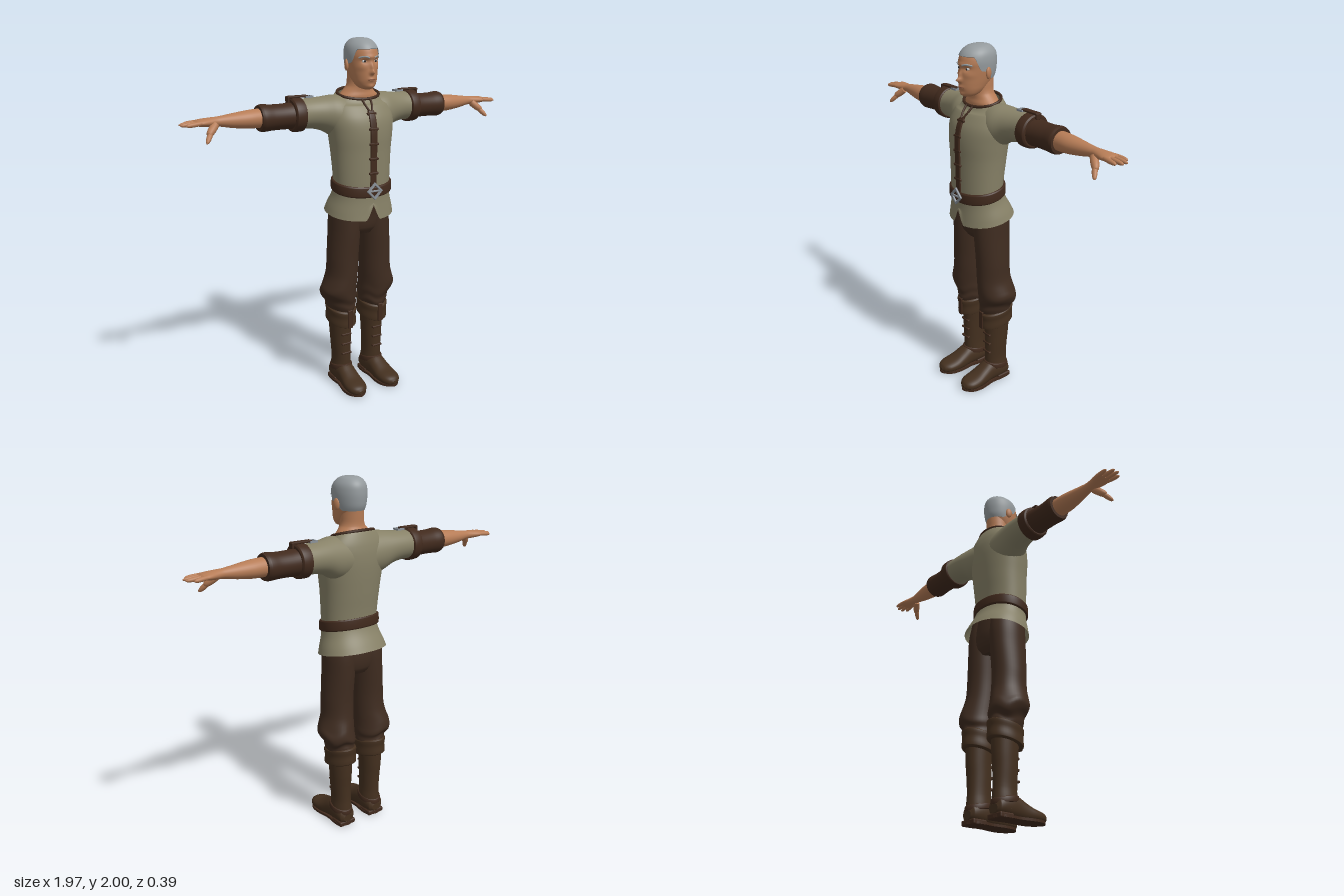
import * as THREE from 'three';
import { RoundedBoxGeometry } from 'three/addons/geometries/RoundedBoxGeometry.js';

const V = (x, y, z) => new THREE.Vector3(x, y, z);
const step = THREE.MathUtils.smoothstep;

// Smooth value of the sections [t, c1, c2, r1, r2] at t
function sample(secs, t) {
  let i = 0;
  while (i < secs.length - 2 && t > secs[i + 1][0]) i++;
  const a = secs[i], b = secs[i + 1], p = secs[i - 1] || a, n = secs[i + 2] || b;
  const h = b[0] - a[0], s = (t - a[0]) / h, s2 = s * s, s3 = s2 * s;
  return [1, 2, 3, 4].map(k => {
    const ma = (b[k] - p[k]) / (b[0] - p[0]) * h, mb = (n[k] - a[k]) / (n[0] - a[0]) * h;
    return (2 * s3 - 3 * s2 + 1) * a[k] + (s3 - 2 * s2 + s) * ma + (3 * s2 - 2 * s3) * b[k] + (s3 - s2) * mb;
  });
}

// Point on a section ring; pow above 2 squares the ring off
function ring(secs, t, th, axis = 'y', pow = 2, grow = 0) {
  const [c1, c2, r1, r2] = sample(secs, t);
  const f = v => Math.sign(v) * Math.abs(v) ** (2 / pow);
  const a = c1 + (r1 + grow) * f(Math.cos(th)), b = c2 + (r2 + grow) * f(Math.sin(th));
  return axis === 'y' ? V(a, t, b) : axis === 'x' ? V(t, b, a) : V(b, a, t);
}

// Closed tube of rows of points, with optional end caps
function skin(rows, cols, point, cap = true) {
  const pos = [], idx = [];
  for (let i = 0; i <= rows; i++)
    for (let j = 0; j < cols; j++) pos.push(...point(i, j / cols * Math.PI * 2).toArray());
  for (let i = 0; i < rows; i++)
    for (let j = 0; j < cols; j++) {
      const a = i * cols + j, b = i * cols + (j + 1) % cols;
      idx.push(a, a + cols, b, b, a + cols, b + cols);
    }
  if (cap) for (const r of [0, rows]) {
    const base = pos.length / 3, mid = V(0, 0, 0);
    for (let j = 0; j < cols; j++) {
      const p = V(0, 0, 0).fromArray(pos, (r * cols + j) * 3);
      mid.addScaledVector(p, 1 / cols);
      pos.push(p.x, p.y, p.z);
    }
    pos.push(mid.x, mid.y, mid.z);
    for (let j = 0; j < cols; j++) {
      const a = base + j, b = base + (j + 1) % cols;
      idx.push(...(r ? [base + cols, b, a] : [base + cols, a, b]));
    }
  }
  const g = new THREE.BufferGeometry();
  g.setAttribute('position', new THREE.Float32BufferAttribute(pos, 3));
  g.setIndex(idx);
  g.computeVertexNormals();
  return g;
}

function loft(secs, { axis = 'y', cols = 32, sub = 4, pow = 2, warp, cap = true } = {}) {
  const n = (secs.length - 1) * sub;
  return skin(n, cols, (i, th) => {
    const k = Math.min(Math.floor(i / sub), secs.length - 2), s = i / sub - k;
    const p = ring(secs, secs[k][0] + (secs[k + 1][0] - secs[k][0]) * s, th, axis, pow);
    if (warp) warp(p);
    return p;
  }, cap);
}

function mirror(geo) {
  const g = geo.clone().scale(-1, 1, 1);
  if (!g.index) g.setIndex([...Array(g.attributes.position.count).keys()]);
  const a = g.index.array;
  for (let i = 0; i < a.length; i += 3) [a[i], a[i + 1]] = [a[i + 1], a[i]];
  return g;
}

// Rounded finger from a to b
function finger(a, b, r0, r1) {
  const L = a.distanceTo(b), d = b.clone().sub(a).normalize();
  const g = loft([[0, 0, 0, r0, r0], [L * 0.5, 0, 0, r0, r0], [L * 0.88, 0, 0, r1, r1], [L, 0, 0, r1 * 0.3, r1 * 0.3]],
    { axis: 'x', cols: 12, sub: 3 });
  return g.applyQuaternion(new THREE.Quaternion().setFromUnitVectors(V(1, 0, 0), d)).translate(a.x, a.y, a.z);
}
const tube = (pts, r, closed = false) =>
  new THREE.TubeGeometry(new THREE.CatmullRomCurve3(pts, closed), closed ? 64 : 16, r, 8, closed);
const box = (w, h, d, x, y, z) => new RoundedBoxGeometry(w, h, d, 2, Math.min(w, h, d) * 0.3).translate(x, y, z);

// Rectangular buckle frame in the xy plane
function frame(w, h, bar, d) {
  const rect = (C, a, b) => new C([[-a, -b], [a, -b], [a, b], [-a, b]].map(p => new THREE.Vector2(...p)));
  const s = rect(THREE.Shape, w / 2, h / 2);
  s.holes.push(rect(THREE.Path, w / 2 - bar, h / 2 - bar));
  return new THREE.ExtrudeGeometry(s, { depth: d, bevelEnabled: false }).translate(0, 0, -d / 2);
}

export function createModel() {
  const group = new THREE.Group();
  const mat = (name, color, side = THREE.FrontSide) => {
    const m = new THREE.MeshStandardMaterial({ color, side });
    m.name = name;
    return m;
  };
  const flesh = mat('skin', 0xb67c56), lip = mat('lips', 0x8f5a42), hairM = mat('grey hair', 0x949a9d, THREE.DoubleSide);
  const cloth = mat('tunic cloth', 0x878167, THREE.DoubleSide), wool = mat('trouser cloth', 0x3f2c20);
  const leather = mat('leather', 0x412a1d), boot = mat('boot leather', 0x44301f), metal = mat('steel', 0x8b9299);
  const white = mat('eye white', 0xc4c8ca), dark = mat('iris', 0x2c2a2a);
  const add = (name, geo, m) => {
    const mesh = new THREE.Mesh(geo, m);
    mesh.name = name;
    group.add(mesh);
  };
  const pair = (name, geo, m) => { add(name + 'Left', geo, m); add(name + 'Right', mirror(geo), m); };

  // Head, with the features raised as bumps [x, y, height, width x, width y]
  const head = [[1.735, 0, .058, .02, .022], [1.745, 0, .05, .042, .044], [1.77, 0, .035, .059, .07], [1.8, 0, .02, .068, .089],
    [1.84, 0, .006, .076, .102], [1.88, 0, .001, .081, .105], [1.92, 0, 0, .082, .105], [1.955, 0, -.004, .074, .094],
    [1.98, 0, -.008, .053, .068], [1.99, 0, -.01, .032, .04], [1.994, 0, -.01, .004, .004]];
  const bumps = [[0, 1.825, .026, .011, .011], [0, 1.85, .014, .008, .02], [.033, 1.882, -.011, .017, .011], [-.033, 1.882, -.011, .017, .011],
    [0, 1.903, .006, .05, .009], [0, 1.788, .007, .02, .01], [0, 1.75, .008, .02, .012], [.05, 1.85, .004, .02, .015], [-.05, 1.85, .004, .02, .015]];
  const face = p => {
    if (p.z > .02) for (const [x, y, h, sx, sy] of bumps)
      p.z += h * Math.exp(-(((p.x - x) / sx) ** 2) - ((p.y - y) / sy) ** 2) * step(p.z, .02, .06);
  };
  add('head', loft(head, { cols: 96, sub: 6, warp: face }), flesh);
  add('neck', loft([[1.64, 0, -.035, .12, .07], [1.695, 0, -.035, .115, .072], [1.72, 0, -.035, .092, .068],
    [1.75, 0, -.028, .068, .064], [1.8, 0, -.025, .062, .068], [1.84, 0, -.025, .06, .07]]), flesh);
  add('hair', skin(28, 72, (i, th) => {
    const s = Math.sin(th), u = Math.sin(i / 28 * Math.PI / 2);
    const low = s > .2 ? 1.872 + .073 * step(s, .25, .7) : 1.872 - .045 * step(-s, -.2, .5);
    const p = ring(head, low + (1.994 - low) * u, th, 'y', 2, .005);
    p.y += .006 * u;
    return p;
  }), hairM);
  pair('ear', new THREE.SphereGeometry(1, 16, 12).scale(.011, .031, .02).rotateY(.35).translate(.086, 1.86, -.008), flesh);
  pair('eye', new THREE.SphereGeometry(1, 16, 10).scale(.014, .007, .008).translate(.033, 1.882, .086), white);
  pair('iris', new THREE.SphereGeometry(1, 12, 8).scale(.006, .006, .003).translate(.033, 1.882, .093), dark);
  pair('eyebrow', tube([V(.014, 1.9, .109), V(.035, 1.906, .1), V(.06, 1.9, .075)], .0045), hairM);
  add('mouth', tube([V(-.022, 1.787, .102), V(0, 1.789, .114), V(.022, 1.787, .102)], .0035), lip);

  // Tunic body: dipped neckline, tilted waist and hem split at the front
  const shape = p => {
    if (p.y > 1.64) p.y -= .3 * (p.z + .04) * step(p.y, 1.64, 1.7);
    else {
      const split = p.z > 0 ? Math.max(0, .038 - Math.abs(p.x)) * 2.2 * (1 - step(p.y, 1.05, 1.15)) : 0;
      p.y += split - .17 * p.z * (1 - step(p.y, 1.25, 1.4));
    }
  };
  add('tunicBody', loft([[1.05, 0, -.03, .198, .162], [1.09, 0, -.022, .188, .15], [1.15, 0, -.008, .169, .132], [1.2, 0, 0, .162, .124],
    [1.26, 0, 0, .164, .126], [1.4, 0, -.006, .173, .134], [1.5, 0, -.01, .185, .14], [1.58, 0, -.018, .193, .135],
    [1.65, 0, -.033, .178, .112], [1.69, 0, -.034, .142, .09], [1.708, 0, -.034, .12, .08]],
    { cols: 96, sub: 5, pow: 2.15, warp: shape, cap: false }), cloth);
  pair('sleeve', loft([[.07, -.045, 1.585, .1, .115], [.15, -.045, 1.592, .103, .113], [.22, -.06, 1.607, .09, .09],
    [.29, -.069, 1.612, .083, .08], [.37, -.07, 1.611, .082, .079]], { axis: 'x', cols: 40 }), cloth);
  const collar = [];
  for (let i = 0; i < 24; i++) {
    const a = i / 24 * Math.PI * 2, p = V(.122 * Math.cos(a), 1.708, -.034 + .082 * Math.sin(a));
    shape(p);
    collar.push(p);
  }
  add('collarBraid', tube(collar, .008, true), leather);
  pair('neckOpeningTrim', tube([V(.026, 1.682, .05), V(.02, 1.65, .078), V(.004, 1.615, .103)], .006), leather);

  // Front placket with clasps
  add('placket', loft([[1.21, 0, .124, .019, .008], [1.26, 0, .126, .019, .008], [1.4, 0, .129, .02, .008], [1.5, 0, .131, .02, .008],
    [1.58, 0, .118, .02, .008], [1.625, 0, .097, .018, .008]], { pow: 4 }), leather);
  [[1.61, .106], [1.53, .13], [1.45, .133], [1.37, .132], [1.29, .13]].forEach(([y, z], i) =>
    add('clasp' + (i + 1), box(.056, .014, .014, 0, y, z), leather));

  // Belt and diamond buckle
  const tilt = p => { p.y -= .18 * p.z; };
  add('belt', loft([[1.18, 0, -.002, .169, .132], [1.187, 0, -.001, .174, .137], [1.233, 0, 0, .174, .135], [1.24, 0, 0, .169, .13]],
    { cols: 64, pow: 2.15, warp: tilt }), leather);
  add('beltBuckle', frame(.068, .068, .011, .01).rotateZ(Math.PI / 4).translate(0, 1.195, .144), metal);
  add('buckleTongue', box(.07, .01, .008, 0, 1.195, .144), metal);

  // Arms: cuffs, shoulder straps, forearms and hands
  pair('sleeveBand', loft([[.33, -.07, 1.61, .084, .083], [.336, -.07, 1.61, .092, .089], [.385, -.07, 1.61, .09, .088],
    [.392, -.07, 1.61, .08, .08]], { axis: 'x', cols: 40 }), leather);
  pair('armCuff', loft([[.38, -.072, 1.607, .074, .07], [.43, -.072, 1.606, .071, .067], [.5, -.071, 1.606, .07, .067],
    [.555, -.071, 1.607, .073, .071], [.572, -.071, 1.607, .067, .066]], { axis: 'x', cols: 40 }), leather);
  pair('shoulderStrap', box(.115, .011, .034, .35, 1.704, -.07), leather);
  pair('strapEnd', box(.012, .03, .034, .405, 1.692, -.07), leather);
  pair('strapBuckle', frame(.045, .044, .008, .01).rotateX(-Math.PI / 2).translate(.285, 1.7, -.07), metal);
  pair('forearm', loft([[.5, -.07, 1.608, .05, .05], [.58, -.069, 1.608, .051, .049], [.64, -.069, 1.607, .05, .046],
    [.72, -.071, 1.607, .038, .036], [.79, -.072, 1.609, .028, .025], [.83, -.072, 1.609, .034, .023],
    [.87, -.073, 1.609, .044, .02], [.9, -.074, 1.609, .044, .015], [.912, -.074, 1.608, .036, .009]], { axis: 'x' }), flesh);
  [[-.04, -.03, .965], [-.063, -.057, .985], [-.086, -.086, .983], [-.107, -.117, .955]].forEach(([z0, z1, x], i) =>
    pair('finger' + (i + 1), finger(V(.885, 1.61, z0), V(x, 1.604, z1), .0115, .0085), flesh));
  pair('thumbBase', finger(V(.81, 1.597, -.052), V(.862, 1.55, -.015), .02, .015), flesh);
  pair('thumbTip', finger(V(.843, 1.565, -.028), V(.88, 1.517, .01), .0135, .009), flesh);

  // Trousers gathered below the knee
  add('trouserSeat', loft([[.93, 0, -.03, .1, .075], [.97, 0, -.03, .155, .1], [1.05, 0, -.028, .17, .108], [1.19, 0, -.005, .155, .11]],
    { cols: 48 }), wool);
  pair('trouserLeg', loft([[.46, .105, -.055, .07, .085], [.495, .106, -.053, .082, .1], [.525, .11, -.05, .085, .097],
    [.555, .12, -.052, .099, .111], [.59, .127, -.048, .104, .112], [.63, .121, -.042, .098, .108], [.7, .11, -.034, .089, .101],
    [.8, .106, -.03, .088, .1], [.95, .096, -.029, .087, .107], [1.05, .09, -.028, .088, .108], [1.15, .085, -.02, .08, .1]],
    { cols: 40, warp: p => { p.y += .012 * Math.sin(p.x * 40 + p.z * 25) * step(.68 - p.y, 0, .08); } }), wool);

  // Boots: turned cuff, shaft, foot, sole, heel and straps
  pair('bootCuff', loft([[.385, .105, -.058, .074, .096], [.392, .105, -.058, .083, .105], [.44, .105, -.057, .081, .103],
    [.478, .106, -.057, .084, .107], [.486, .106, -.057, .076, .098]], { cols: 40, warp: p => { p.y -= .2 * (p.z + .03); } }), boot);
  pair('cuffStrap', box(.03, .11, .012, .102, .428, .047), leather);
  pair('bootShaft', loft([[.05, .105, -.065, .056, .068], [.1, .104, -.063, .056, .07], [.16, .104, -.06, .052, .069],
    [.25, .106, -.06, .056, .071], [.33, .107, -.062, .06, .075], [.43, .107, -.06, .066, .08]]), boot);
  pair('bootFoot', loft([[-.135, .05, .105, .022, .03], [-.12, .06, .105, .045, .05], [-.06, .068, .105, .062, .058],
    [0, .066, .106, .064, .055], [.05, .05, .108, .054, .058], [.1, .04, .111, .04, .062], [.15, .036, .113, .032, .056],
    [.18, .033, .114, .023, .036], [.192, .03, .114, .008, .012]],
    { axis: 'z', pow: 2.2, warp: p => { p.y = Math.max(p.y, .014); } }), boot);
  const outline = new THREE.Shape();
  outline.moveTo(.105, .138);
  outline.splineThru([[.055, .12], [.046, .06], [.052, 0], [.046, -.09], [.062, -.155], [.114, -.194], [.164, -.155],
    [.175, -.09], [.16, 0], [.163, .06], [.155, .12], [.105, .138]].map(p => new THREE.Vector2(...p)));
  pair('bootSole', new THREE.ExtrudeGeometry(outline, { depth: .014, bevelEnabled: false, curveSegments: 4 })
    .rotateX(-Math.PI / 2).translate(0, .004, 0), leather);
  pair('bootHeel', box(.108, .03, .09, .105, .015, -.088), leather);
  pair('ankleStrap', loft([[.083, .105, -.06, .057, .073], [.087, .105, -.06, .062, .078], [.112, .105, -.06, .06, .077],
    [.116, .105, -.06, .054, .07]], { warp: p => { p.y += .18 * (p.z + .06); } }), leather);
  [.2, .26, .32].forEach((y, i) => pair('bootLace' + (i + 1), box(.062, .013, .018, .105, y, .006), leather));

  return group;
}
